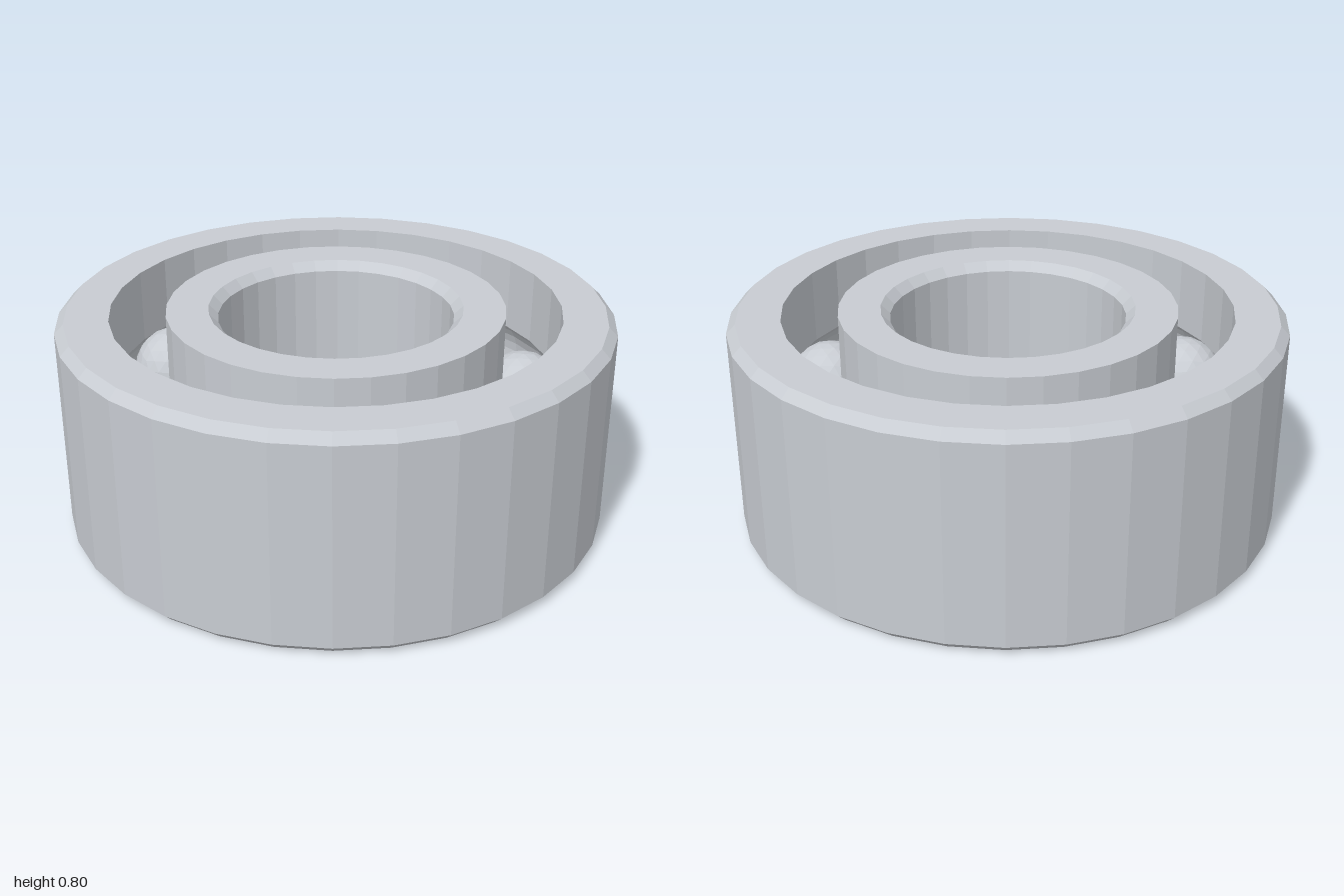
import * as THREE from 'three';

const SIDES = 32, HEIGHT = 0.8, MID = HEIGHT / 2, BEVEL = 0.033;
const BALLS = 10, BALL_RADIUS = 0.16, PITCH = 0.71;

// Separate the faces so that every facet gets its own normal
function faceted(geometry) {
  const flat = geometry.index ? geometry.toNonIndexed() : geometry;
  flat.computeVertexNormals();
  return flat;
}

// Ball groove cut into a wall; side is +1 for the outer race, -1 for the inner
function groove(wall, side) {
  const start = Math.acos(Math.abs(wall - PITCH) / BALL_RADIUS);
  const points = [];
  for (let i = 0; i <= 8; i++) {
    const a = start * (1 - i / 4);
    points.push([PITCH + side * BALL_RADIUS * Math.cos(a), MID + side * BALL_RADIUS * Math.sin(a)]);
  }
  return points;
}

// Closed ring turned from a counterclockwise (radius, height) section
function ring(name, section, material) {
  const points = [...section, section[0]].map(([r, y]) => new THREE.Vector2(r, y));
  const mesh = new THREE.Mesh(faceted(new THREE.LatheGeometry(points, SIDES)), material);
  mesh.name = name;
  return mesh;
}

export function createModel() {
  const model = new THREE.Group();
  model.name = 'ballBearing';
  const steel = new THREE.MeshStandardMaterial({ color: 0xc8ccd2 });
  steel.name = 'steel';

  // Outer ring: bevelled outside, grooved inside
  model.add(ring('outerRing', [
    [1 - BEVEL, 0], [1, BEVEL], [1, HEIGHT - BEVEL], [1 - BEVEL, HEIGHT],
    [0.81, HEIGHT], ...groove(0.81, 1), [0.81, 0],
  ], steel));

  // Inner ring: grooved outside, bevelled bore
  model.add(ring('innerRing', [
    [0.61, 0], ...groove(0.61, -1), [0.61, HEIGHT],
    [0.458, HEIGHT], [0.425, HEIGHT - BEVEL], [0.425, BEVEL], [0.458, 0],
  ], steel));

  // Faceted balls, each with a vertex pointing up
  const ballGeometry = new THREE.IcosahedronGeometry(BALL_RADIUS, 3);
  ballGeometry.rotateZ(-Math.atan(2 / (1 + Math.sqrt(5))));
  const flatBall = faceted(ballGeometry);
  const balls = new THREE.Group();
  balls.name = 'balls';
  for (let i = 0; i < BALLS; i++) {
    const a = (i / BALLS) * Math.PI * 2;
    const ball = new THREE.Mesh(flatBall, steel);
    ball.name = 'ball';
    ball.position.set(PITCH * Math.cos(a), MID, PITCH * Math.sin(a));
    ball.rotation.y = -a;
    balls.add(ball);
  }
  model.add(balls);
  return model;
}
